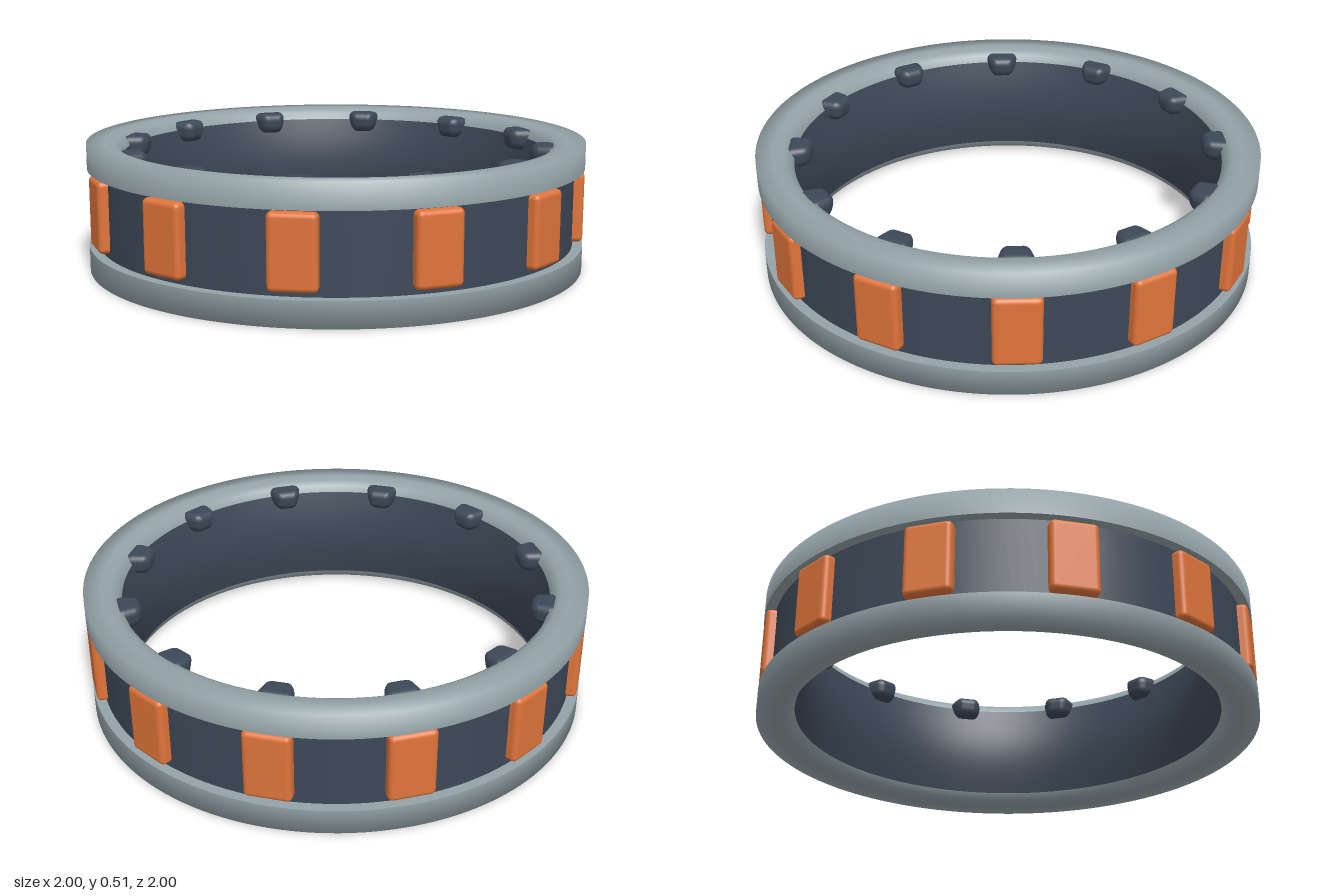
import * as THREE from 'three';
import { RoundedBoxGeometry } from 'three/addons/geometries/RoundedBoxGeometry.js';

const HEIGHT = 0.51;
const COUNT = 12;

const material = (name, color) => {
  const m = new THREE.MeshStandardMaterial({ color });
  m.name = name;
  return m;
};

// Revolved surface; profile runs up the outside, inward over the top, down the inside
function revolve(name, profile, mat) {
  const points = profile.map(([r, y]) => new THREE.Vector2(r, y));
  const mesh = new THREE.Mesh(new THREE.LatheGeometry(points, 144), mat);
  mesh.name = name;
  return mesh;
}

// Evenly spaced copies around the ring, local +z pointing outward
function around(name, geometry, mat, radius, y) {
  const group = new THREE.Group();
  group.name = name + 's';
  for (let i = 0; i < COUNT; i++) {
    const a = (i / COUNT) * Math.PI * 2;
    const mesh = new THREE.Mesh(geometry, mat);
    mesh.name = name;
    mesh.position.set(Math.sin(a) * radius, y, Math.cos(a) * radius);
    mesh.rotation.y = a;
    group.add(mesh);
  }
  return group;
}

export function createModel() {
  const grey = material('blue grey', 0x94a3a8);
  const slate = material('dark slate', 0x3d4857);
  const orange = material('orange', 0xe0743a);

  const model = new THREE.Group();
  model.name = 'ring';

  // Grey rims: smooth over the outer edge and rounded toward the hole
  const upper = [[1, 0.41], [1, HEIGHT], [0.93, HEIGHT], [0.89, 0.503], [0.865, 0.487], [0.853, 0.46]];
  const lower = upper.map(([r, y]) => [r, HEIGHT - y]).reverse();
  model.add(
    revolve('upperRim', upper, grey),
    revolve('lowerRim', lower, grey),
    revolve('upperRimLedge', [[0.95, 0.41], [1, 0.41]], grey),
    revolve('lowerRimLedge', [[1, 0.1], [0.95, 0.1]], grey)
  );

  // Recessed outer band and inward-bulging inner wall
  model.add(revolve('outerBand', [[0.96, 0.1], [0.96, 0.41]], slate));
  const wall = [];
  for (let i = 0; i <= 12; i++) {
    const t = i / 12;
    wall.push([0.853 - 0.033 * Math.sin(Math.PI * t), 0.46 - 0.41 * t]);
  }
  model.add(revolve('innerWall', wall, slate));

  // Orange tiles set into the band
  const tile = new RoundedBoxGeometry(0.18, 0.28, 0.08, 4, 0.02);
  model.add(around('tile', tile, orange, 0.957, 0.26));

  // Rounded knobs inside the upper edge, tapering inward and downward
  const knob = new RoundedBoxGeometry(0.15, 0.09, 0.11, 6, 0.035);
  const p = knob.attributes.position;
  for (let i = 0; i < p.count; i++) {
    const inward = 0.5 - p.getZ(i) / 0.11;
    const down = 0.5 - p.getY(i) / 0.09;
    p.setX(i, p.getX(i) * (1 - 0.4 * inward * inward - 0.15 * down));
    p.setZ(i, p.getZ(i) + 0.012 * down);
  }
  // Soft normals follow the tapered shape
  const n = knob.attributes.normal;
  for (let i = 0; i < n.count; i++) {
    const v = new THREE.Vector3(n.getX(i), n.getY(i) - 0.1, n.getZ(i) - 0.25 * Math.abs(n.getX(i))).normalize();
    n.setXYZ(i, v.x, v.y, v.z);
  }
  model.add(around('knob', knob, slate, 0.835, 0.453));

  return model;
}
